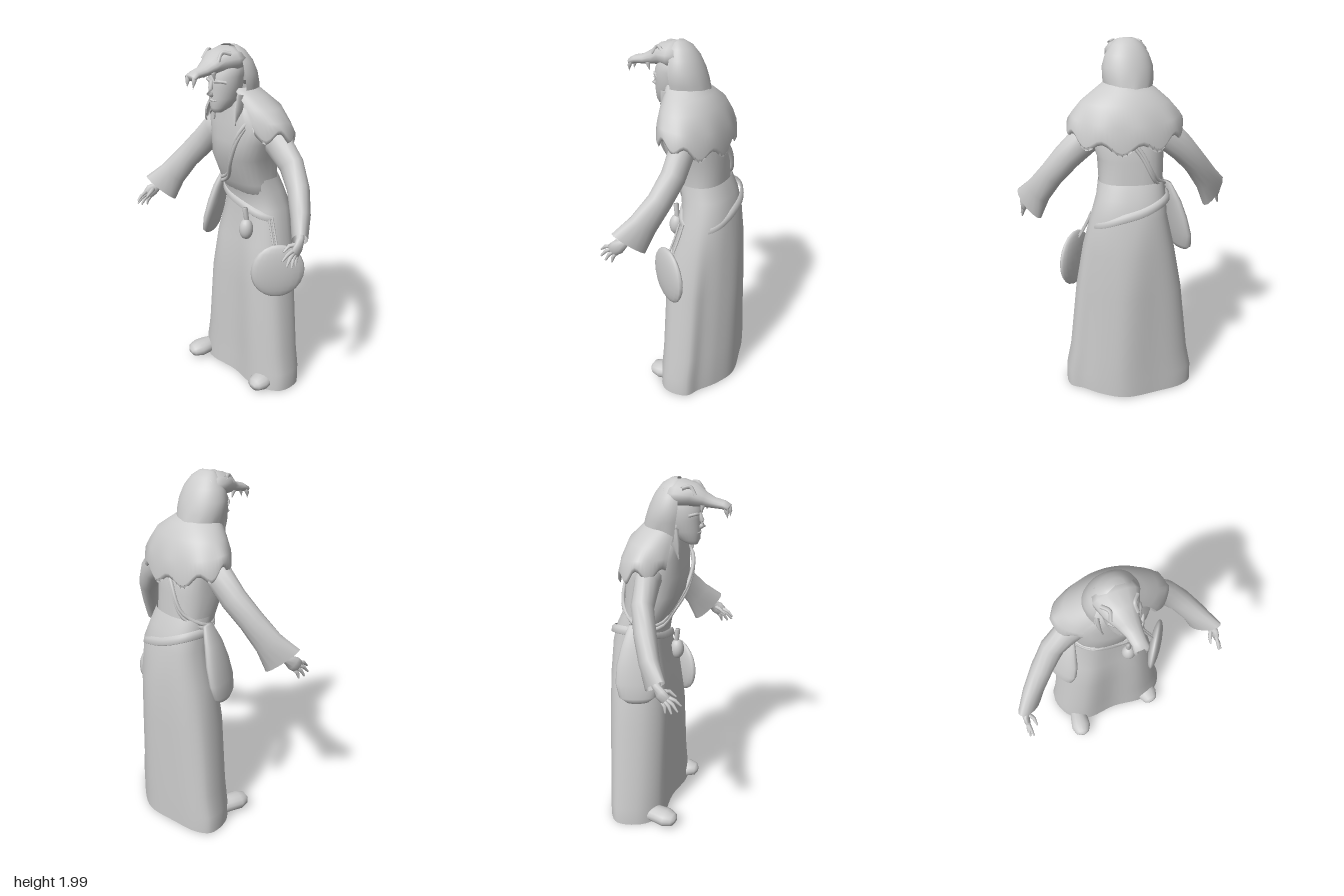
import * as THREE from 'three';

const mat = new THREE.MeshStandardMaterial({ color: 0xcccccc, side: THREE.DoubleSide });
const V = (x, y, z) => new THREE.Vector3(x, y, z);

function add(parent, name, geometry) {
  const mesh = new THREE.Mesh(geometry, mat);
  mesh.name = name;
  parent.add(mesh);
  return mesh;
}

// Skin a list of rings (arrays of Vector3); wrap joins ends, cap closes first/last ring
function loft(rings, { wrap = true, cap = false } = {}) {
  const n = rings[0].length, pos = [], idx = [];
  rings.forEach(r => r.forEach(p => pos.push(p.x, p.y, p.z)));
  for (let i = 0; i < rings.length - 1; i++)
    for (let j = 0; j < (wrap ? n : n - 1); j++) {
      const a = i * n + j, b = i * n + (j + 1) % n;
      idx.push(a, a + n, b, b, a + n, b + n);
    }
  if (cap) [0, rings.length - 1].forEach(k => {
    const c = rings[k].reduce((s, p) => s.add(p), V(0, 0, 0)).divideScalar(n);
    const ci = pos.length / 3;
    pos.push(c.x, c.y, c.z);
    for (let j = 0; j < n; j++) {
      const a = k * n + j, b = k * n + (j + 1) % n;
      k ? idx.push(a, ci, b) : idx.push(a, b, ci);
    }
  });
  const g = new THREE.BufferGeometry();
  g.setAttribute('position', new THREE.Float32BufferAttribute(pos, 3));
  g.setIndex(idx);
  g.computeVertexNormals();
  return g;
}

// Horizontal ring [y, cx, cz, rx, rz]; angle 0 is the back (+x); e squares it off
function ring([y, cx, cz, rx, rz], { n = 28, span = Math.PI * 2, e = 1, lift = () => 0 } = {}) {
  const full = span > 6.28, pts = [];
  const pw = v => Math.sign(v) * Math.abs(v) ** e;
  for (let i = 0; i < (full ? n : n + 1); i++) {
    const t = (full ? 0 : -span / 2) + span * i / n;
    pts.push(V(cx + rx * pw(Math.cos(t)), y + lift(t), cz + rz * pw(Math.sin(t))));
  }
  return pts;
}
const stack = (rows, opt = {}) => loft(rows.map(r => ring(r, opt)), { cap: true });

// Tapered limb through [x, y, z, a, b]: a = half height, b = half width of the section
function limb(rows, cap = true, n = 14) {
  const c = rows.map(r => V(r[0], r[1], r[2]));
  return loft(rows.map((r, i) => {
    const t = c[Math.min(i + 1, c.length - 1)].clone().sub(c[Math.max(i - 1, 0)]).normalize();
    const up = Math.abs(t.y) > 0.98 ? V(1, 0, 0) : V(0, 1, 0);
    const u = up.addScaledVector(t, -up.dot(t)).normalize(), w = t.clone().cross(u);
    return Array.from({ length: n }, (_, j) => {
      const q = j / n * Math.PI * 2;
      return c[i].clone().addScaledVector(u, r[3] * Math.cos(q)).addScaledVector(w, (r[4] ?? r[3]) * Math.sin(q));
    });
  }), { cap });
}
const tube = (pts, r, closed = false) =>
  new THREE.TubeGeometry(new THREE.CatmullRomCurve3(pts.map(p => V(...p)), closed), 40, r, 6, closed);

function ball(parent, name, [x, y, z], [rx, ry, rz]) {
  const m = add(parent, name, new THREE.SphereGeometry(1, 18, 12));
  m.position.set(x, y, z);
  m.scale.set(rx, ry, rz);
  return m;
}

// Sleeve with bell cuff, palm and fingers; s = side, dx = forward shift
function arm(s, dx) {
  const g = new THREE.Group();
  g.name = s > 0 ? 'armA' : 'armB';
  add(g, 'sleeve', limb([
    [0.07 + dx * 0.5, 1.54, 0.13 * s, 0.06], [0.08 + dx * 0.6, 1.5, 0.22 * s, 0.085, 0.065],
    [0.085 + dx * 0.8, 1.405, 0.32 * s, 0.075, 0.06], [0.055 + dx, 1.3, 0.405 * s, 0.07, 0.058],
    [0.0 + dx, 1.19, 0.48 * s, 0.08, 0.052], [-0.055 + dx, 1.095, 0.535 * s, 0.11, 0.042],
  ], false));
  add(g, 'hand', limb([
    [-0.02 + dx, 1.16, 0.5 * s, 0.03], [-0.07 + dx, 1.105, 0.55 * s, 0.026, 0.022],
    [-0.1 + dx, 1.08, 0.57 * s, 0.04, 0.02], [-0.13 + dx, 1.055, 0.575 * s, 0.035, 0.015],
  ], true, 10));
  const tips = [[-0.205, 1.035, 0.565], [-0.195, 1.01, 0.585], [-0.165, 0.995, 0.59], [-0.13, 0.99, 0.585]];
  tips.forEach(([x, y, z], i) => {
    const a = [-0.14 + i * 0.01 + dx, 1.075 - i * 0.012, 0.572 * s];
    add(g, 'finger', limb([[...a, 0.011], [(a[0] + x + dx) / 2 - 0.004, (a[1] + y) / 2 + 0.006, (0.572 + z) / 2 * s, 0.01],
      [x + dx, y, z * s, 0.005]], true, 6));
  });
  add(g, 'thumb', limb([[-0.09 + dx, 1.09, 0.56 * s, 0.013], [-0.13 + dx, 1.085, 0.535 * s, 0.012],
    [-0.165 + dx, 1.06, 0.53 * s, 0.005]], true, 6));
  return g;
}

export function createModel() {
  const model = new THREE.Group();

  // Long robe: hem outline with folds and corners, easing into an oval waist
  const hem = new THREE.CatmullRomCurve3([[0.325, 0.03], [0.275, 0.17], [0.215, 0.26], [0.17, 0.34], [0.03, 0.345], [-0.05, 0.21],
    [-0.035, 0], [-0.05, -0.21], [0.03, -0.33], [0.17, -0.37], [0.235, -0.31], [0.285, -0.16]].map(([x, z]) => V(x, 0, z)), true);
  const skirtRing = ([y, cx, cz, rx, rz, w]) => ring([y, cx, cz, rx, rz], { n: 60, e: 0.85 }).map((p, i) => {
    const h = hem.getPoint(i / 60);
    return p.lerp(V(cx + (h.x - 0.138) * rx / 0.187, y, cz + h.z * rz / 0.35), w);
  });
  add(model, 'skirt', loft([[0.012, 0.135, 0, 0.187, 0.352, 1], [0.12, 0.137, 0, 0.187, 0.35, 1], [0.25, 0.14, 0, 0.187, 0.325, 1],
    [0.65, 0.142, 0, 0.188, 0.285, 0.85], [0.9, 0.145, 0, 0.175, 0.248, 0.5], [1.1, 0.15, -0.005, 0.14, 0.205, 0],
    [1.2, 0.125, -0.018, 0.137, 0.187, 0], [1.28, 0.095, -0.02, 0.13, 0.176, 0]].map(skirtRing)));
  add(model, 'torso', stack([[1.15, 0.12, -0.01, 0.11, 0.17], [1.25, 0.09, -0.02, 0.125, 0.172], [1.4, 0.055, -0.02, 0.155, 0.178],
    [1.5, 0.045, 0, 0.148, 0.2], [1.6, 0.03, 0, 0.13, 0.21], [1.68, 0.0, 0, 0.09, 0.13], [1.72, -0.03, 0, 0.065, 0.07],
    [1.78, -0.05, 0, 0.06, 0.06]], { e: 0.8 }));

  // Tilted belt band
  add(model, 'belt', loft([[-0.025, 0], [-0.018, 0.01], [0.012, 0.006], [0.022, -0.01]].map(([h, d]) =>
    ring([1.13 + h, 0.142, -0.008, 0.147 + d, 0.207 + d], { n: 40, e: 0.85, lift: t => -0.075 * Math.sin(t) }))));

  // Jagged shoulder cape, open over the chest, with a thick turned-in rim
  const sag = t => Math.max(0, Math.cos(t));
  const lift = t => -0.085 * sag(t) + 0.028 * Math.cos(9 * t + 2.2);
  const capeOpt = { n: 54, span: 4.9 };
  add(model, 'cape', loft([
    ring([1.79, -0.015, 0, 0.1, 0.1], capeOpt), ring([1.745, 0.01, 0, 0.12, 0.165], capeOpt),
    ring([1.69, 0.035, 0.005, 0.15, 0.235], capeOpt),
    ring([1.63, 0.052, 0.005, 0.17, 0.288], { ...capeOpt, lift: t => -0.04 * sag(t) }),
    ring([1.575, 0.062, 0.008, 0.18, 0.308], { ...capeOpt, lift }),
    ring([1.55, 0.062, 0.008, 0.168, 0.298], { ...capeOpt, lift }),
    ring([1.6, 0.055, 0.005, 0.15, 0.265], { ...capeOpt, lift: t => -0.04 * sag(t) }),
  ], { wrap: false }));

  model.add(arm(1, 0), arm(-1, -0.105));

  // Head
  const head = new THREE.Group();
  head.name = 'head';
  model.add(head);
  add(head, 'face', stack([[1.665, -0.145, 0, 0.025, 0.025], [1.69, -0.12, 0, 0.062, 0.05], [1.74, -0.095, 0, 0.09, 0.075],
    [1.8, -0.09, 0, 0.092, 0.085], [1.85, -0.088, 0, 0.095, 0.088], [1.92, -0.07, 0, 0.08, 0.08]]));
  add(head, 'nose', limb([[-0.178, 1.83, 0, 0.01], [-0.192, 1.79, 0, 0.013], [-0.2, 1.768, 0, 0.015], [-0.18, 1.755, 0, 0.012]], true, 8));
  add(head, 'mouth', tube([[-0.17, 1.728, -0.03], [-0.184, 1.73, 0], [-0.17, 1.728, 0.03]], 0.006));
  for (const s of [-1, 1]) {
    add(head, 'brow', tube([[-0.178, 1.825, 0.015 * s], [-0.172, 1.83, 0.045 * s], [-0.145, 1.825, 0.073 * s]], 0.008));
    add(head, 'lappet', limb([[-0.075, 1.76, 0.105 * s, 0.03, 0.012], [-0.085, 1.68, 0.1 * s, 0.025, 0.01],
      [-0.1, 1.6, 0.085 * s, 0.004]], true, 8));
  }

  // Animal hide hood, turned slightly to one side
  const hoodOpt = { n: 30, span: 4.1 };
  const ragged = t => -0.05 * Math.max(0, Math.abs(t) - 1.3) / 0.75 + 0.012 * Math.cos(9 * t);
  const hood = add(head, 'hood', loft([
    ring([1.735, 0.045, 0, 0.122, 0.122], { ...hoodOpt, lift: ragged }),
    ring([1.8, 0.032, 0, 0.12, 0.137], hoodOpt), ring([1.86, 0.02, 0, 0.112, 0.136], hoodOpt),
    ring([1.92, 0.012, 0, 0.092, 0.116], hoodOpt), ring([1.97, 0.004, 0, 0.062, 0.08], hoodOpt),
    ring([1.995, -0.005, 0, 0.03, 0.045], hoodOpt), ring([2.0, -0.01, 0, 0.002, 0.002], hoodOpt),
  ], { wrap: false }));
  hood.position.set(-0.05, 0, -0.01);
  hood.rotation.y = 0.2;

  // Long-nosed beast skull worn over the brow, with a hooked tip
  add(head, 'skull', limb([[-0.328, 1.865, 0.016, 0.018, 0.04], [-0.3, 1.878, 0.015, 0.022, 0.036], [-0.25, 1.885, 0.01, 0.026, 0.042],
    [-0.2, 1.9, 0, 0.038, 0.058], [-0.15, 1.92, -0.01, 0.058, 0.086], [-0.08, 1.925, -0.01, 0.07, 0.113],
    [-0.02, 1.925, -0.01, 0.058, 0.1]]));
  for (const s of [-1, 1]) {
    add(head, 'fang', limb([[-0.318, 1.87, 0.016 + 0.025 * s, 0.014], [-0.326, 1.845, 0.016 + 0.026 * s, 0.011],
      [-0.33, 1.815, 0.016 + 0.024 * s, 0.002]], true, 6));
    add(head, 'tooth', limb([[-0.21, 1.88, 0.005 + 0.045 * s, 0.014], [-0.2, 1.84, 0.005 + 0.042 * s, 0.002]], true, 6));
    add(head, 'socketRidge', tube([[-0.18, 1.93, -0.01 + 0.062 * s], [-0.15, 1.97, -0.01 + 0.058 * s], [-0.115, 1.965, -0.01 + 0.085 * s]], 0.01));
  }

  // Shoes
  [[-0.168, -0.275], [-0.112, 0.25]].forEach(([x, z]) => {
    const row = (d, y, h, w) => [x + d, y, z * (1 - d * 0.4), h, w];
    add(model, 'shoe', limb([row(0, 0.06, 0.012, 0.02), row(0.015, 0.06, 0.036, 0.045), row(0.06, 0.06, 0.048, 0.064),
      row(0.12, 0.062, 0.048, 0.058), row(0.19, 0.055, 0.045, 0.046), row(0.25, 0.05, 0.042, 0.045), row(0.28, 0.045, 0.02, 0.025)]));
  });

  // Flat round flask hanging at one hip
  const flask = ball(model, 'flask', [0.033, 0.79, 0.29], [0.152, 0.16, 0.034]);
  flask.rotation.y = -0.58;
  for (const x of [0.05, 0.075]) add(model, 'flaskCord', tube([[x, 1.07, 0.195], [x - 0.01, 1.0, 0.225], [x - 0.025, 0.92, 0.265]], 0.006));

  // Satchel on the other hip, angled outwards to the back
  const satchel = add(model, 'satchel', stack([[0.84, 0, -0.04, 0.06, 0.022], [0.87, 0, -0.036, 0.1, 0.034], [0.95, 0, -0.02, 0.118, 0.04],
    [1.05, 0, 0.005, 0.108, 0.04], [1.15, 0, 0.03, 0.08, 0.033], [1.25, 0, 0.065, 0.04, 0.018]], { n: 20 }));
  satchel.position.set(0.06, 0, -0.275);
  satchel.rotation.y = 0.45;

  // Shoulder strap crossing chest and back
  for (const o of [0, 0.022])
    add(model, 'shoulderStrap', tube([[0.085, 1.22 + o, -0.205], [0.195, 1.29 + o, -0.14], [0.208, 1.44 + o, -0.06], [0.14, 1.62, 0.1],
      [0.02, 1.66, 0.14], [-0.1, 1.55 + o, 0.12], [-0.102, 1.4 + o, 0.05], [-0.05, 1.28 + o, -0.03], [-0.015, 1.22 + o, -0.13]], 0.011, true));

  // Small pouch and scroll on the front of the belt
  ball(model, 'pouch', [-0.025, 0.995, 0.09], [0.04, 0.06, 0.04]);
  add(model, 'scroll', limb([[-0.02, 1.04, 0.09, 0.014], [-0.03, 1.12, 0.085, 0.015]], true, 8));

  return model;
}
